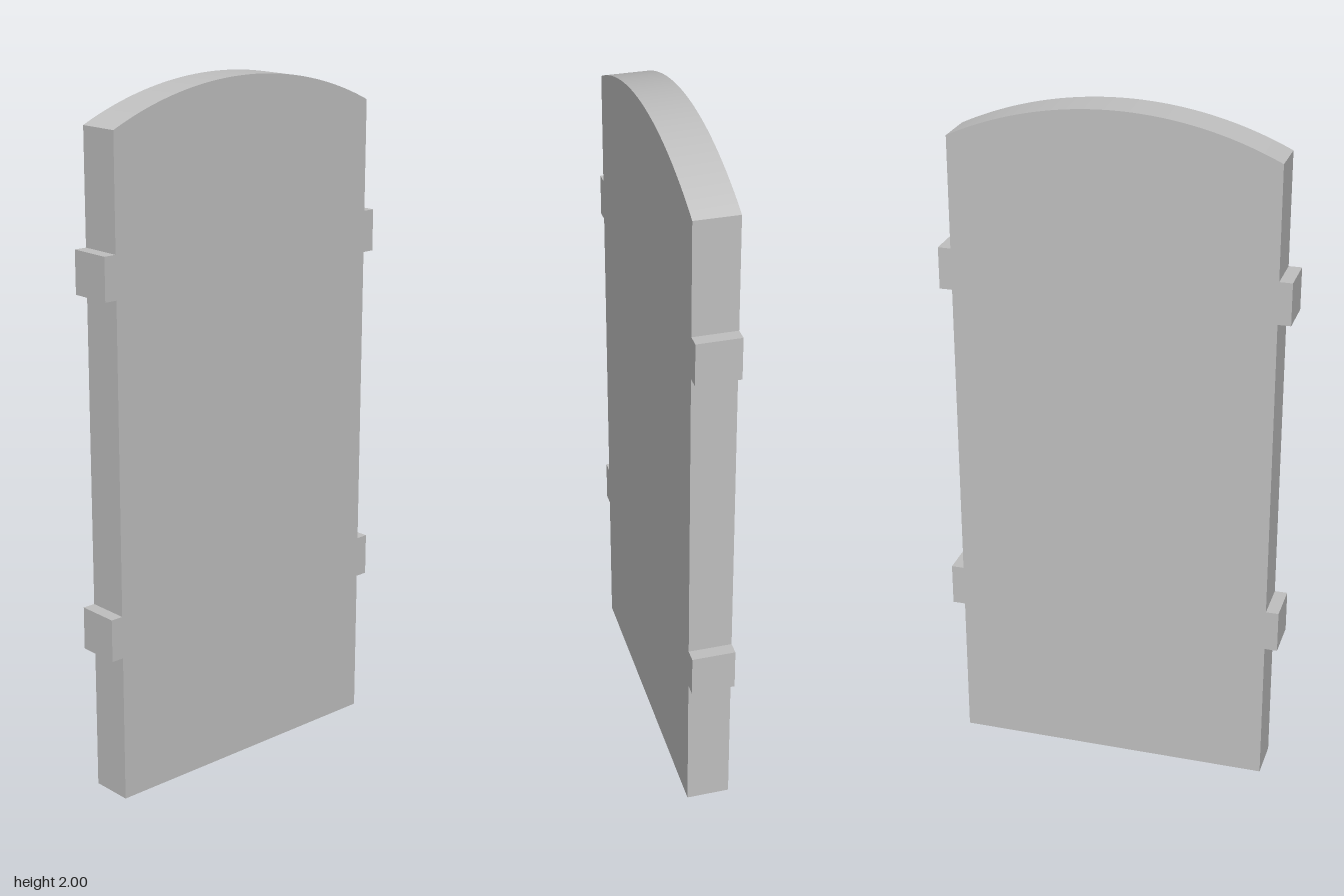
import * as THREE from 'three';
import { toCreasedNormals } from 'three/addons/utils/BufferGeometryUtils.js';

const HALF = 0.463;      // half width of the panel
const TAB = 0.5;         // half width across the tabs
const SHOULDER = 1.895;  // height where the arch begins
const TOP = 2;
const DEPTH = 0.125;
const TABS = [[0.433, 0.557], [1.45, 1.572]]; // bottom and top of each tab

export function createModel() {
  const group = new THREE.Group();
  const grey = new THREE.MeshStandardMaterial({ color: 0xc0c0c0 });
  grey.name = 'grey';

  // Right edge going up, stepping out around each tab
  const edge = [[HALF, 0]];
  for (const [low, high] of TABS) {
    edge.push([HALF, low], [TAB, low], [TAB, high], [HALF, high]);
  }
  edge.push([HALF, SHOULDER]);

  // Outline: one edge, shallow circular arch, mirrored edge
  const outline = new THREE.Shape();
  outline.moveTo(-HALF, 0);
  edge.forEach(([x, y]) => outline.lineTo(x, y));
  const rise = TOP - SHOULDER;
  const radius = (HALF * HALF + rise * rise) / (2 * rise);
  const angle = Math.asin(HALF / radius);
  outline.absarc(0, TOP - radius, radius, Math.PI / 2 - angle, Math.PI / 2 + angle, false);
  [...edge].reverse().slice(1, -1).forEach(([x, y]) => outline.lineTo(-x, y));
  outline.closePath();

  // Flat panel with its side tabs, smooth only along the arch
  const geometry = new THREE.ExtrudeGeometry(outline, {
    depth: DEPTH, bevelEnabled: false, curveSegments: 24,
  });
  geometry.translate(0, 0, -DEPTH / 2);
  const panel = new THREE.Mesh(toCreasedNormals(geometry, 0.35), grey);
  panel.name = 'archedPanelWithTabs';
  group.add(panel);
  return group;
}
